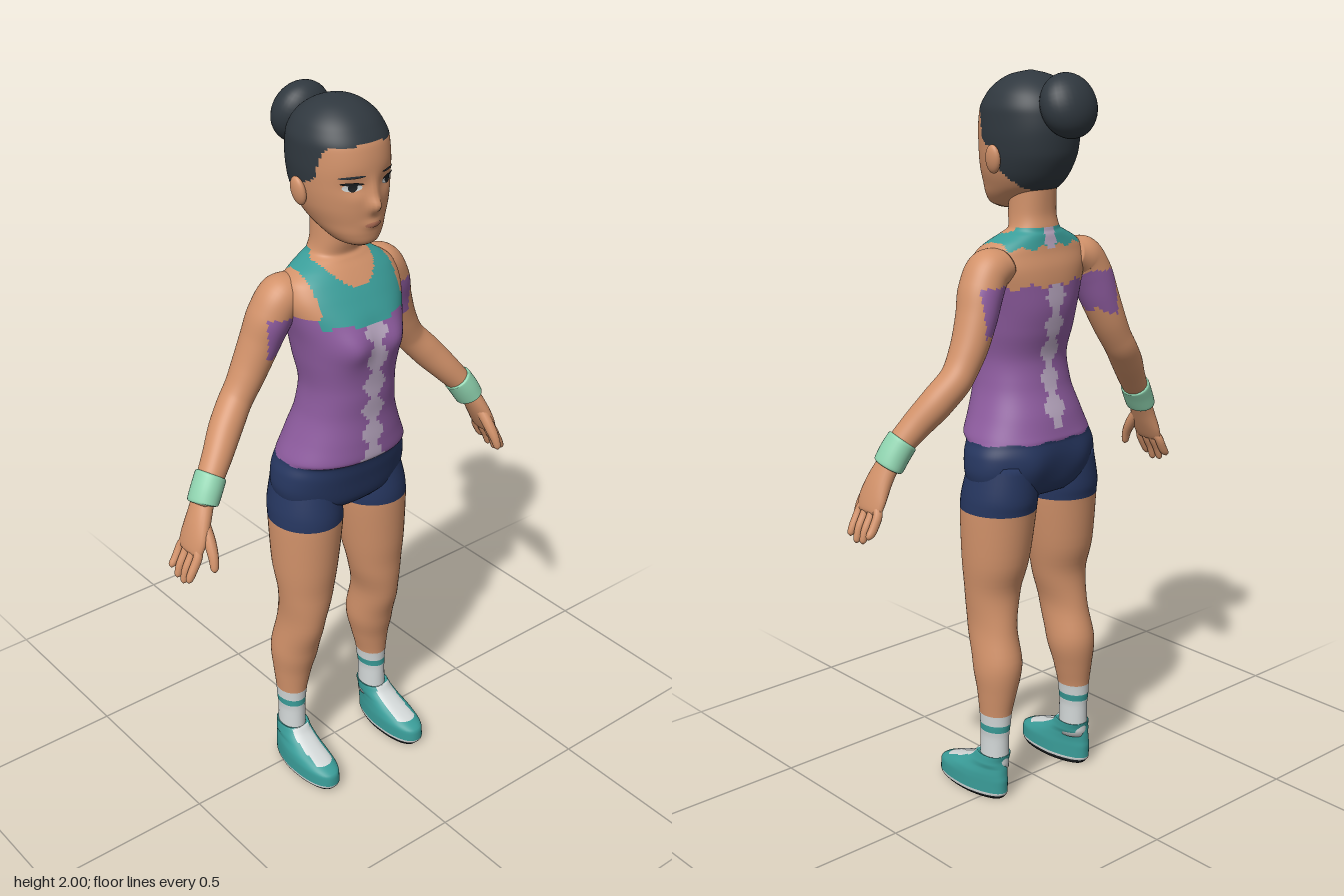
import * as THREE from 'three';

const COLORS = {
  skin: 0xd2926a, hair: 0x30383f, teal: 0x3a9d99, purple: 0x8e5c9f, navy: 0x26365f,
  lilac: 0xbcaac4, white: 0xd3d8d8, mint: 0x90d4b0, black: 0x1c2023, lip: 0xb8745a,
};

// Smooth interpolation between cross-sections, without overshoot
function sample(rows, i, t) {
  const slope = (a, b) => (a * b <= 0 ? 0 : (2 * a * b) / (a + b));
  const at = k => rows[Math.min(Math.max(k, 0), rows.length - 1)];
  return rows[i].map((p, c) => {
    const q = at(i + 1)[c], d = q - p;
    const m0 = i === 0 ? d : slope(p - at(i - 1)[c], d);
    const m1 = i + 2 >= rows.length ? d : slope(d, at(i + 2)[c] - q);
    const t2 = t * t, t3 = t2 * t;
    return p * (2 * t3 - 3 * t2 + 1) + m0 * (t3 - 2 * t2 + t) + q * (3 * t2 - 2 * t3) + m1 * (t3 - t2);
  });
}

// Loft through sections [x, y, z, sideRadius, depthRadius]; colorOf(point) picks a colour per cell
function loft(name, mats, sections, colorOf, { seg = 32, steps = 4, n = 2, tilt = false, warp } = {}) {
  const rows = [];
  for (let i = 0; i < sections.length - 1; i++)
    for (let s = 0; s < steps; s++) rows.push(sample(sections, i, s / steps));
  rows.push(sections[sections.length - 1]);
  const centre = rows.map(r => new THREE.Vector3(r[0], r[1], r[2]));
  const pts = [];
  rows.forEach((r, i) => {
    const S = new THREE.Vector3(1, 0, 0), F = new THREE.Vector3(0, 0, 1);
    if (tilt) {
      const T = centre[Math.min(i + 1, rows.length - 1)].clone().sub(centre[Math.max(i - 1, 0)]).normalize();
      F.addScaledVector(T, -T.z).normalize();
      S.crossVectors(T, F);
    }
    for (let j = 0; j < seg; j++) {
      const a = (j / seg) * Math.PI * 2, c = Math.cos(a), s = Math.sin(a);
      const p = centre[i].clone()
        .addScaledVector(S, r[3] * Math.sign(c) * Math.abs(c) ** (2 / n))
        .addScaledVector(F, r[4] * Math.sign(s) * Math.abs(s) ** (2 / n));
      if (warp) warp(p);
      pts.push(p);
    }
  });
  const last = (rows.length - 1) * seg, c0 = pts.length;
  pts.push(centre[0], centre[rows.length - 1]);
  const buckets = {};
  const add = (...f) => {
    const m = new THREE.Vector3();
    f.forEach(k => m.addScaledVector(pts[k], 1 / f.length));
    const list = (buckets[typeof colorOf === 'string' ? colorOf : colorOf(m)] ??= []);
    list.push(f[0], f[1], f[2]);
    if (f.length === 4) list.push(f[0], f[2], f[3]);
  };
  for (let j = 0; j < seg; j++) {
    const k = (j + 1) % seg;
    for (let i = 0; i < rows.length - 1; i++)
      add(i * seg + j, (i + 1) * seg + j, (i + 1) * seg + k, i * seg + k);
    add(c0, j, k);
    add(c0 + 1, last + k, last + j);
  }
  const geo = new THREE.BufferGeometry().setFromPoints(pts);
  const names = Object.keys(buckets), index = [];
  names.forEach((c, g) => {
    geo.addGroup(index.length, buckets[c].length, g);
    for (const v of buckets[c]) index.push(v);
  });
  geo.setIndex(index);
  geo.computeVertexNormals();
  const mesh = new THREE.Mesh(geo, names.length > 1 ? names.map(c => mats[c]) : mats[names[0]]);
  mesh.name = name;
  return mesh;
}

const bump = (d, w) => Math.exp(-(d * d) / (w * w));
const zig = (v, period) => Math.abs((((v / period) % 1) + 1) % 1 * 2 - 1);
const fromProfile = rows => rows.map(([y, w, f, b]) => [0, y, (f + b) / 2, w, (f - b) / 2]);

// Sleeveless top, bare shoulders, waistband
function torsoColor(p) {
  const x = Math.abs(p.x), { y, z } = p, front = z > -0.01;
  if (y < 1.042 - 0.008 * zig(p.x, 0.09)) return 'navy';
  if (front) {
    if (y > 1.595 || (z > 0 && y > 1.525 + 0.062 * (x / 0.085) ** 2)) return 'skin';
    if (x > 0.13 && y > 1.47) return 'skin';
    if (x < 0.012 + 0.028 * zig(y, 0.075) && y < 1.445) return 'lilac';
    return x < 0.135 && y > 1.435 + 0.02 * zig(x + 0.02, 0.11) ? 'teal' : 'purple';
  }
  if (y > 1.605) return 'skin';
  if (y > 1.56 - 0.012 * zig(x, 0.06) && x < 0.125) return x < 0.018 ? 'lilac' : 'teal';
  if (y > 1.45 + 0.015 * zig(x, 0.08)) return 'skin';
  return x < 0.01 + 0.026 * zig(y, 0.075) && y > 1.07 ? 'lilac' : 'purple';
}

// Hairline height along the head from front to back
const HAIRLINE = [[0.2, 1.912], [0.1, 1.908], [0.078, 1.885], [0.066, 1.83], [0.03, 1.805], [0, 1.75], [-0.06, 1.69], [-0.2, 1.67]];
function headColor(p) {
  const i = HAIRLINE.findIndex(h => h[0] <= p.z);
  const [z0, y0] = HAIRLINE[i - 1], [z1, y1] = HAIRLINE[i];
  return p.y > y0 + ((y1 - y0) * (p.z - z0)) / (z1 - z0) ? 'hair' : 'skin';
}

// Brow, eye sockets, nose and lips pushed in and out of the face
function shapeFace(p) {
  if (p.z < 0.05) return;
  const x = Math.abs(p.x);
  p.z += 0.022 * bump(x, 0.017) * bump(p.y - 1.757, 0.02) + 0.008 * bump(x, 0.014) * bump(p.y - 1.79, 0.03)
    - 0.009 * bump(x - 0.048, 0.028) * bump(p.y - 1.808, 0.022) + 0.006 * bump(x, 0.025) * bump(p.y - 1.708, 0.012);
}

export function createModel() {
  const model = new THREE.Group();
  model.name = 'athlete';
  const mats = {};
  for (const [name, color] of Object.entries(COLORS)) {
    mats[name] = new THREE.MeshStandardMaterial({ color });
    mats[name].name = name;
  }
  const put = (...args) => { const m = loft(args[0], mats, ...args.slice(1)); model.add(m); return m; };

  // Torso and neck
  put('torso', fromProfile([
    [0.885, 0.15, 0.1, -0.08], [0.91, 0.19, 0.12, -0.098], [0.96, 0.205, 0.13, -0.11], [1.0, 0.2, 0.137, -0.114],
    [1.03, 0.187, 0.142, -0.112], [1.048, 0.182, 0.163, -0.112], [1.1, 0.16, 0.163, -0.1], [1.18, 0.135, 0.16, -0.075],
    [1.25, 0.128, 0.165, -0.066], [1.33, 0.14, 0.171, -0.085], [1.39, 0.15, 0.172, -0.095], [1.45, 0.165, 0.156, -0.095],
    [1.5, 0.175, 0.128, -0.09], [1.54, 0.165, 0.1, -0.078], [1.565, 0.135, 0.08, -0.073], [1.585, 0.095, 0.062, -0.07],
    [1.6, 0.07, 0.052, -0.066], [1.64, 0.062, 0.058, -0.06], [1.72, 0.06, 0.06, -0.065],
  ]), torsoColor, {
    seg: 96, steps: 6, n: 2.25,
    warp(p) {
      const x = Math.abs(p.x);
      if (p.z > 0.03) p.z += 0.02 * bump(x - 0.068, 0.045) * bump(p.y - 1.385, 0.05);
      else if (p.z < -0.03) p.z -= 0.012 * bump(x - 0.09, 0.05) * bump(p.y - 0.97, 0.06);
    },
  });

  // Head with hair cap
  const head = put('head', fromProfile([
    [1.643, 0.025, 0.122, 0.06], [1.655, 0.052, 0.141, 0.02], [1.68, 0.075, 0.148, -0.025], [1.71, 0.092, 0.15, -0.075],
    [1.75, 0.108, 0.153, -0.105], [1.8, 0.118, 0.154, -0.125], [1.85, 0.122, 0.152, -0.13], [1.9, 0.121, 0.144, -0.125],
    [1.94, 0.107, 0.122, -0.108], [1.97, 0.081, 0.092, -0.078], [1.99, 0.047, 0.055, -0.04], [2.0, 0.004, 0.01, 0],
  ]), headColor, { seg: 96, steps: 7, n: 2.1, warp: shapeFace });

  const ball = (name, mat, pos, scale, rx = 0, rz = 0) => {
    const m = new THREE.Mesh(new THREE.SphereGeometry(1, 32, 20), mats[mat]);
    m.name = name;
    m.position.set(...pos);
    m.scale.set(...scale);
    m.rotation.set(rx, 0, rz);
    model.add(m);
  };
  ball('hairBun', 'hair', [0, 1.918, -0.137], [0.081, 0.084, 0.062], 0.35);

  // Thin face details laid onto the head surface
  const ray = new THREE.Raycaster();
  const decal = (name, mat, x, y, rx, ry, lift, angle = 0) => {
    const g = new THREE.RingGeometry(0.001, 1, 28, 4).scale(rx, ry, 1).rotateZ(angle).translate(x, y, 0);
    const pos = g.attributes.position;
    for (let i = 0; i < pos.count; i++) {
      ray.set(new THREE.Vector3(pos.getX(i), pos.getY(i), 1), new THREE.Vector3(0, 0, -1));
      const hit = ray.intersectObject(head)[0];
      pos.setZ(i, (hit ? hit.point.z : 0.1) + lift);
    }
    g.computeVertexNormals();
    const m = new THREE.Mesh(g, mats[mat]);
    m.name = name;
    model.add(m);
  };
  decal('lips', 'lip', 0, 1.707, 0.025, 0.007, 0.002);

  for (const side of [1, -1]) {
    const label = side > 0 ? 'left' : 'right';
    const flip = rows => rows.map(([x, ...rest]) => [x * side, ...rest]);
    decal(label + 'EyeWhite', 'white', side * 0.054, 1.808, 0.023, 0.01, 0.002);
    decal(label + 'Iris', 'black', side * 0.054, 1.809, 0.011, 0.011, 0.004);
    decal(label + 'Lashes', 'black', side * 0.056, 1.818, 0.027, 0.004, 0.005, side * 0.06);
    decal(label + 'Brow', 'hair', side * 0.056, 1.835, 0.03, 0.0035, 0.003, side * -0.05);
    ball(label + 'Ear', 'skin', [side * 0.124, 1.782, 0.012], [0.014, 0.038, 0.025], -0.15, side * -0.15);

    // Leg with shorts and sock
    put(label + 'Leg', flip([
      [0.153, 0.09, -0.01, 0.037, 0.046], [0.152, 0.18, -0.012, 0.035, 0.046], [0.152, 0.205, -0.013, 0.037, 0.047],
      [0.151, 0.225, -0.014, 0.039, 0.048], [0.15, 0.255, -0.014, 0.042, 0.05], [0.145, 0.32, -0.015, 0.053, 0.06],
      [0.139, 0.4, -0.01, 0.065, 0.075], [0.135, 0.5, 0.015, 0.06, 0.08], [0.125, 0.6, 0.025, 0.075, 0.081],
      [0.12, 0.7, 0.017, 0.09, 0.098], [0.113, 0.845, 0.012, 0.101, 0.11], [0.112, 0.88, 0.008, 0.1, 0.112],
      [0.105, 0.98, 0, 0.085, 0.1],
    ]), ({ y }) => (y > 0.845 ? 'navy' : y > 0.255 ? 'skin' : y > 0.205 && y < 0.225 ? 'teal' : 'white'), { seg: 40, steps: 5 });

    // Shoe with dark sole, pale rim and tongue
    put(label + 'Shoe', flip([
      [0.158, 0, 0.07, 0.045, 0.118], [0.16, 0.012, 0.07, 0.052, 0.128], [0.16, 0.02, 0.07, 0.053, 0.131],
      [0.16, 0.05, 0.068, 0.053, 0.13], [0.16, 0.07, 0.052, 0.051, 0.112], [0.158, 0.09, 0.025, 0.047, 0.083],
      [0.155, 0.115, 0.002, 0.043, 0.057], [0.153, 0.132, -0.008, 0.041, 0.05], [0.153, 0.128, -0.009, 0.034, 0.043],
    ]), p => (p.y < 0.012 ? 'black' : p.y < 0.02 ? 'white'
      : p.y > 0.072 && p.z > 0.035 && Math.abs(Math.abs(p.x) - 0.158) < 0.029 ? 'white' : 'teal'), {
      seg: 48, steps: 4, n: 2.3,
      warp(p) { // narrower heel
        if (p.y < 0.1) p.x = side * (0.158 + (side * p.x - 0.158) * (p.z < 0.05 ? 1 - 1.6 * (0.05 - p.z) : 1));
      },
    });

    // Arm with partial sleeve
    put(label + 'Arm', flip([
      [0.12, 1.515, -0.015, 0.045, 0.055], [0.165, 1.5, -0.015, 0.058, 0.062], [0.195, 1.455, -0.02, 0.058, 0.062],
      [0.22, 1.39, -0.03, 0.053, 0.057], [0.255, 1.31, -0.037, 0.047, 0.051], [0.29, 1.25, -0.038, 0.043, 0.046],
      [0.34, 1.19, -0.02, 0.044, 0.045], [0.395, 1.125, 0.01, 0.039, 0.04], [0.44, 1.07, 0.03, 0.033, 0.037],
      [0.468, 1.025, 0.038, 0.028, 0.037],
    ]), p => (p.y < 1.47 - 0.01 * zig(p.z, 0.05) && p.y > 1.345 + 0.02 * zig(p.z, 0.06) && Math.abs(p.x) < 0.236
      ? 'purple' : 'skin'), { seg: 48, steps: 8, tilt: true });
    put(label + 'Wristband', flip([
      [0.424, 1.092, 0.024, 0.036, 0.04], [0.427, 1.088, 0.025, 0.04, 0.044], [0.445, 1.06, 0.032, 0.04, 0.045],
      [0.462, 1.03, 0.037, 0.038, 0.045], [0.464, 1.026, 0.038, 0.034, 0.041],
    ]), 'mint', { tilt: true });

    // Hand: palm, four fingers, thumb
    put(label + 'Palm', flip([
      [0.462, 1.035, 0.037, 0.026, 0.035], [0.485, 0.99, 0.047, 0.025, 0.043], [0.505, 0.945, 0.052, 0.021, 0.05],
      [0.517, 0.915, 0.052, 0.015, 0.046], [0.52, 0.907, 0.052, 0.006, 0.035],
    ]), 'skin', { seg: 24, tilt: true });
    [[0.012, 0.853], [0.038, 0.836], [0.065, 0.832], [0.09, 0.845]].forEach(([z, tip], i) => put(`${label}Finger${i + 1}`, flip([
      [0.506, 0.945, 0.028 + z * 0.5, 0.012, 0.012], [0.522, 0.905, z, 0.0125, 0.013],
      [0.54, 0.872, z, 0.012, 0.012], [0.55, tip + 0.007, z, 0.009, 0.009], [0.552, tip, z, 0.002, 0.002],
    ]), 'skin', { seg: 12, tilt: true }));
    put(label + 'Thumb', flip([
      [0.482, 0.99, 0.065, 0.016, 0.018], [0.487, 0.95, 0.098, 0.016, 0.016], [0.493, 0.91, 0.122, 0.013, 0.013],
      [0.497, 0.885, 0.13, 0.01, 0.01], [0.498, 0.876, 0.132, 0.002, 0.002],
    ]), 'skin', { seg: 12, tilt: true });
  }
  return model;
}
